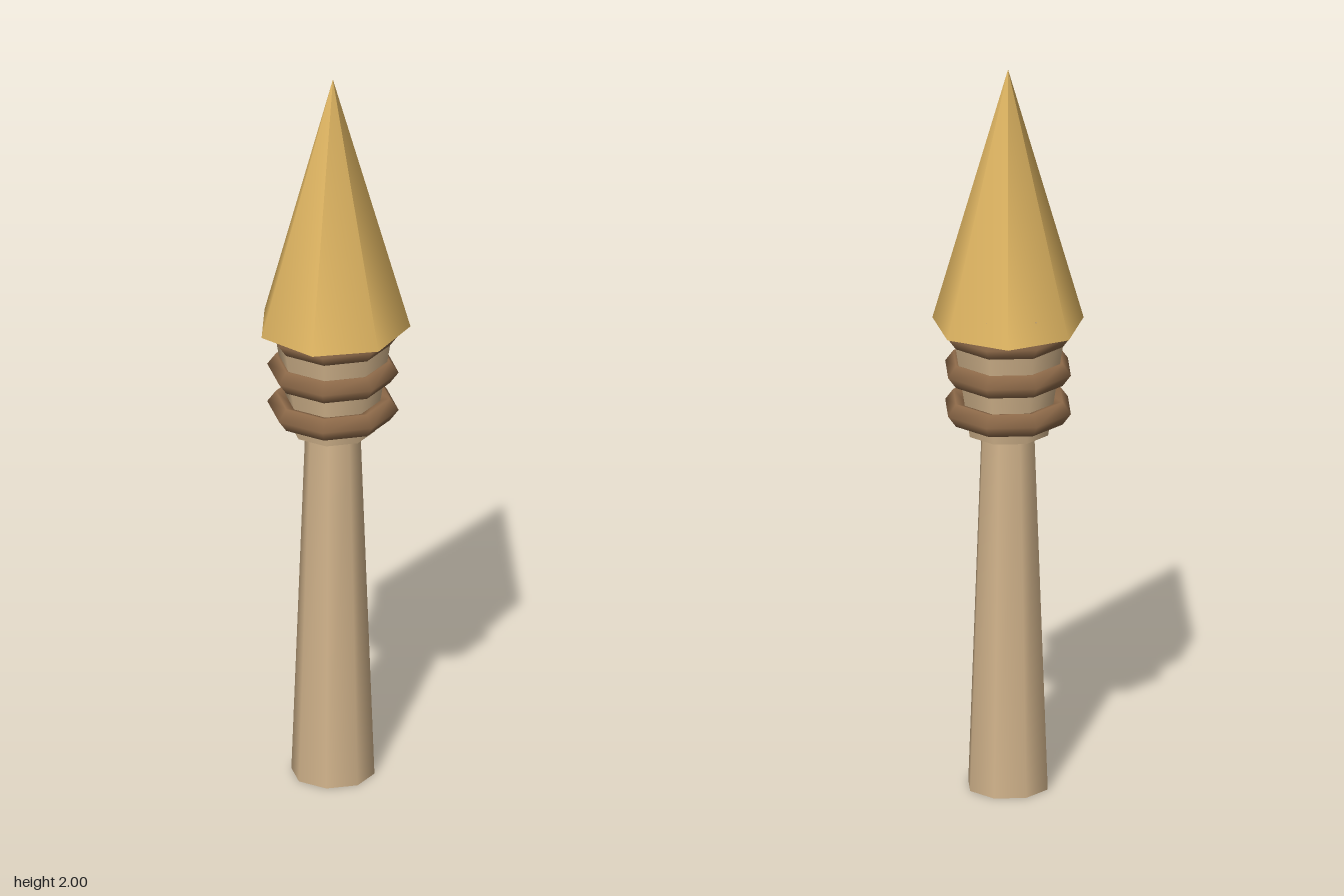
import * as THREE from 'three';

export function createModel() {
  const group = new THREE.Group();
  const wood = new THREE.MeshStandardMaterial({ color: 0xd2b48c });
  wood.name = 'pale wood';
  const cord = new THREE.MeshStandardMaterial({ color: 0x8f6b4a });
  cord.name = 'brown binding';
  const gold = new THREE.MeshStandardMaterial({ color: 0xdfb562 });
  gold.name = 'gold';

  const AXIS_Z = -0.01; // shared axis of all the turned parts

  function add(name, geometry, material, y) {
    const mesh = new THREE.Mesh(geometry, material);
    mesh.name = name;
    mesh.position.set(0, y, AXIS_Z);
    group.add(mesh);
  }

  // tapered octagonal handle
  add('shaft', new THREE.CylinderGeometry(0.073, 0.11, 0.99, 8), wood, 0.495);

  // flared socket, its rim just inside the tip
  add('collar', new THREE.CylinderGeometry(0.169, 0.111, 0.36, 8), wood, 1.17);

  // binding rings around the collar
  [1.057, 1.165, 1.273].forEach((y, i) => {
    const ring = new THREE.TorusGeometry(0.141, 0.033, 5, 8).rotateX(Math.PI / 2);
    add('bindingRing' + (i + 1), ring, cord, y);
  });

  // seven-sided pointed tip
  add('tip', new THREE.ConeGeometry(0.203, 0.71, 7), gold, 1.645);

  return group;
}
